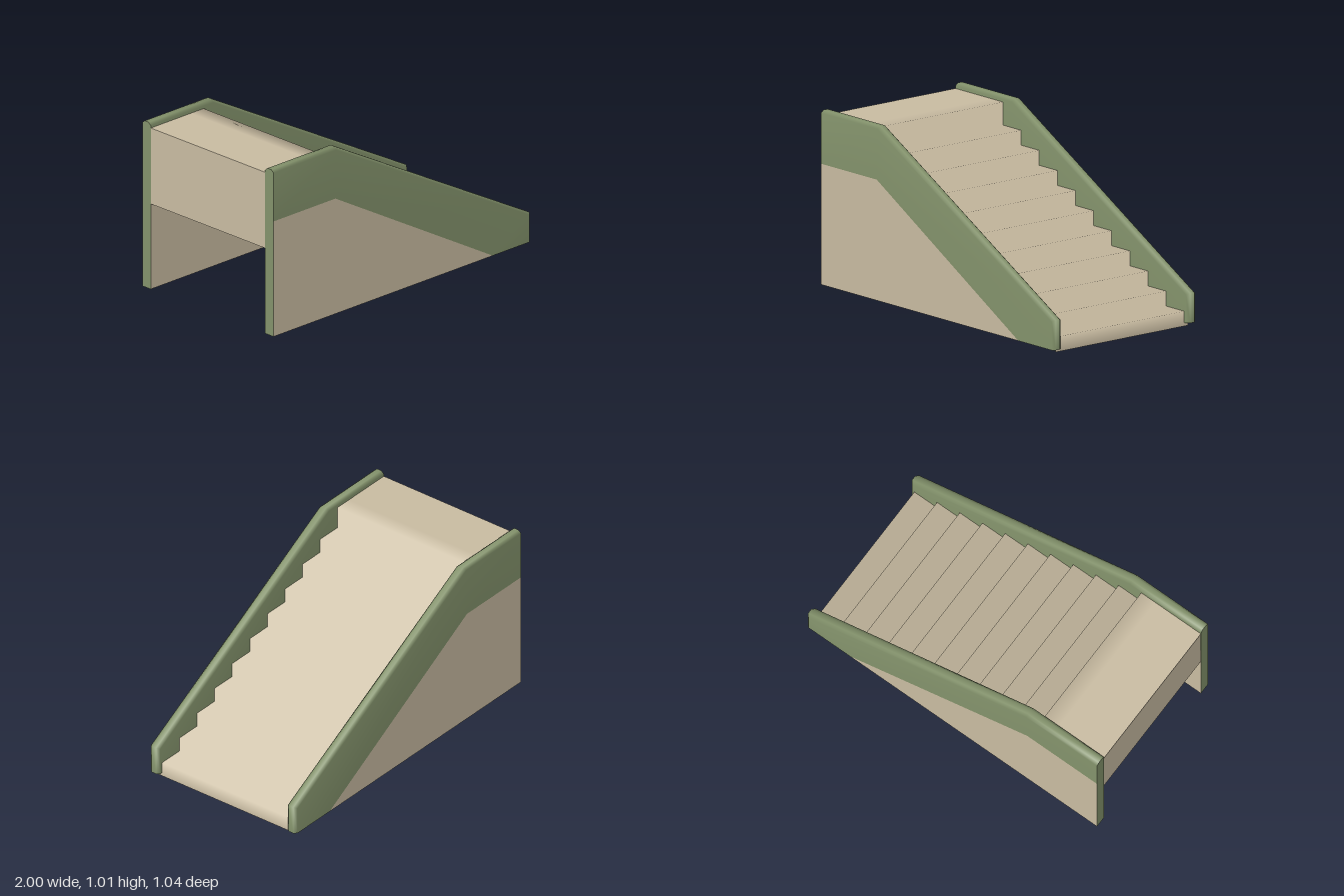
import * as THREE from 'three';

const WALL_Z = 0.487, HALF = 0.033, BEVEL_Z = 0.018, BEVEL = 0.015;
const STAIR_Z = 0.48, STEPS = 11;

// Smooth open sheet through rows of points
function sheet(rows, normals) {
  const n = rows[0].length, index = [];
  for (let i = 0; i < rows.length - 1; i++) {
    for (let j = 0; j < n - 1; j++) {
      const a = i * n + j, b = a + n;
      index.push(a, b, b + 1, a, b + 1, a + 1);
    }
  }
  const geo = new THREE.BufferGeometry();
  geo.setAttribute('position', new THREE.Float32BufferAttribute(rows.flat(2), 3));
  geo.setIndex(index);
  if (normals) geo.setAttribute('normal', new THREE.Float32BufferAttribute(normals.flat(), 3));
  else geo.computeVertexNormals();
  return geo;
}

const flat = (points) =>
  new THREE.ShapeGeometry(new THREE.Shape(points.map(([x, y]) => new THREE.Vector2(x, y))));

export function createModel() {
  const model = new THREE.Group();
  const stone = new THREE.MeshStandardMaterial({ color: 0xc8bba1, side: THREE.DoubleSide });
  stone.name = 'beige stone';
  const green = new THREE.MeshStandardMaterial({ color: 0x83926b, side: THREE.DoubleSide });
  green.name = 'moss green';

  const add = (parent, name, geo, mat) => {
    const mesh = new THREE.Mesh(geo, mat);
    mesh.name = name;
    parent.add(mesh);
    return mesh;
  };

  // Stair sheet: deck, then zigzag steps with softened normals
  const s = Math.SQRT1_2;
  const profile = [[-1, 0.985], [-0.69, 0.985]];
  const normals = [[0, 1, 0], [0, 1, 0]];
  for (let i = STEPS - 1; i >= 0; i--) {
    const x = 0.97 - i * 0.156;
    const top = i === STEPS - 1 ? 0.985 : (i + 1) * 0.0853;
    profile.push([x, top], [x, i * 0.0853]);
    normals.push([s, s, 0], i === 0 ? [1, 0, 0] : [s, s, 0]);
  }
  add(model, 'stairs', sheet(
    profile.map(([x, y]) => [[x, y, STAIR_Z], [x, y, -STAIR_Z]]),
    normals.flatMap((v) => [v, v])
  ), stone);

  // Panel hanging under the back of the deck
  const back = new THREE.PlaneGeometry(2 * STAIR_Z, 0.455);
  back.rotateY(-Math.PI / 2);
  const backPanel = add(model, 'backPanel', back, stone);
  backPanel.position.set(-0.998, 0.757, 0);

  // Wall outlines: crest, bevelled shoulder and lower edge of the band
  const crest = [[-1, 1.015], [-0.51, 1.015], [1, 0.19], [1, 0.02]];
  const shoulder = [
    [-1, 1.015 - BEVEL], [-0.514, 1.015 - BEVEL], [1 - BEVEL, 0.182], [1 - BEVEL, 0.02]
  ];
  const lower = [[-1, 0.71], [-0.52, 0.71], [0.7, 0.02], [0.7, 0.02]];
  const inner = HALF - BEVEL_Z;

  for (const [side, name] of [[1, 'frontWall'], [-1, 'rearWall']]) {
    const wall = new THREE.Group();
    wall.name = name;
    wall.position.z = side * WALL_Z;
    model.add(wall);

    // Green band wrapped over the top and the low end
    add(wall, 'railBand', sheet(crest.map(([x, y], i) => [
      [...lower[i], HALF], [...shoulder[i], HALF], [x, y, inner],
      [x, y, -inner], [...shoulder[i], -HALF], [...lower[i], -HALF]
    ])), green);

    // Beige faces beneath the band
    for (const z of [HALF, -HALF]) {
      const panel = add(wall, 'sidePanel', flat([[-1, 0.02], ...lower.slice(0, 3).reverse()]), stone);
      if (z < 0) panel.geometry.index.array.reverse();
      if (z < 0) panel.geometry.computeVertexNormals();
      panel.position.z = z;
    }

    // Green strip closing the tall end
    const cap = flat([
      [-HALF, 0.02], [HALF, 0.02], [HALF, 1.015 - BEVEL],
      [inner, 1.015], [-inner, 1.015], [-HALF, 1.015 - BEVEL]
    ]);
    cap.rotateY(-Math.PI / 2);
    add(wall, 'endCap', cap, green).position.x = -1;
  }
  return model;
}
